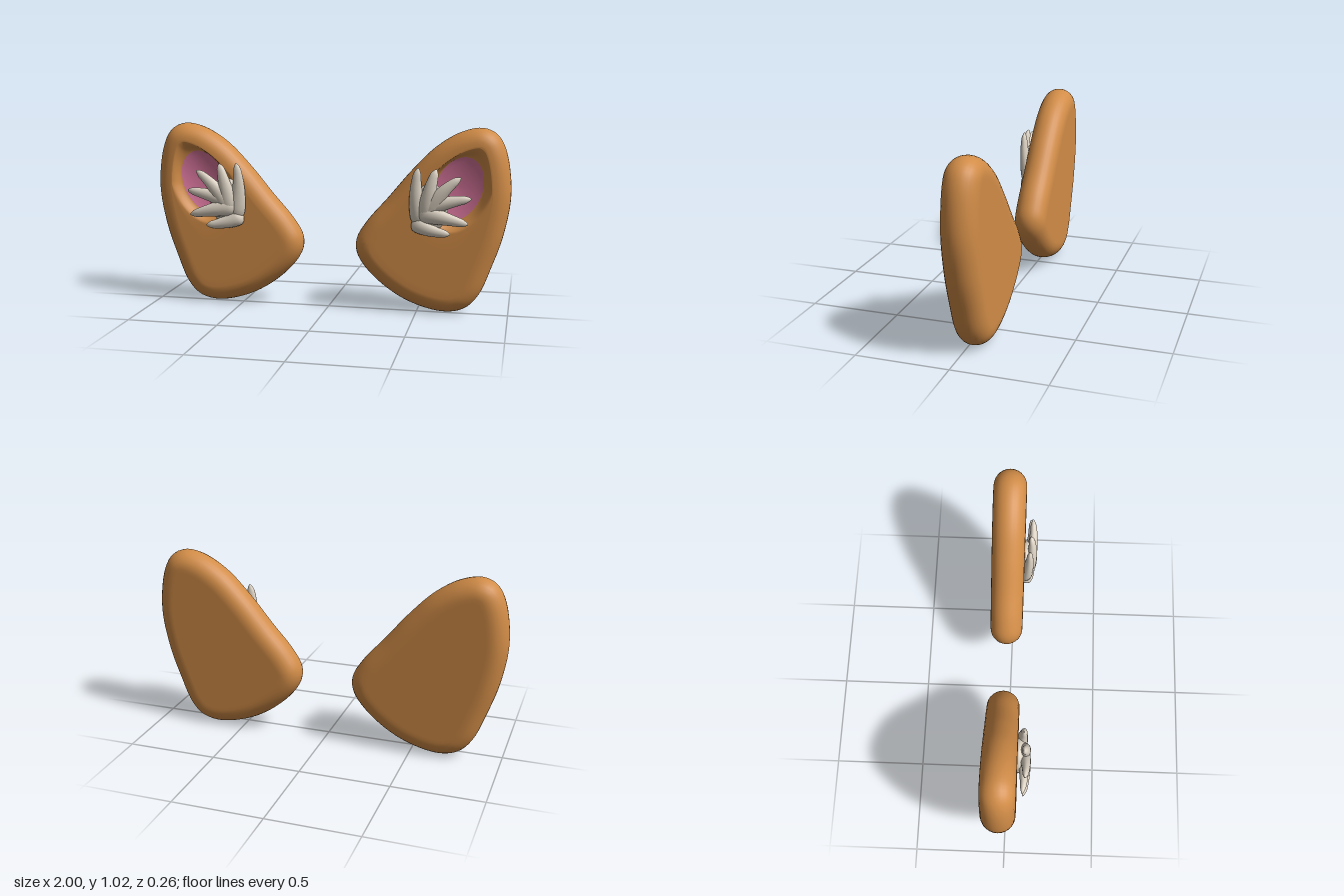
import * as THREE from 'three';

const furBrown = new THREE.MeshStandardMaterial({ color: 0xd18c47 });
furBrown.name = 'brown fur';
const innerPink = new THREE.MeshStandardMaterial({ color: 0xd6749a });
innerPink.name = 'inner ear pink';
const tuftCream = new THREE.MeshStandardMaterial({ color: 0xdcd2c3 });
tuftCream.name = 'cream tuft';

// Skins a list of closed point rings into one smooth surface.
function loft(rings) {
  const n = rings[0].length, index = [];
  for (let i = 0; i < rings.length - 1; i++) {
    for (let j = 0; j < n; j++) {
      const a = i * n + j, b = i * n + (j + 1) % n;
      index.push(a, b, a + n, b, b + n, a + n);
    }
  }
  const geometry = new THREE.BufferGeometry().setFromPoints(rings.flat());
  geometry.setIndex(index);
  geometry.computeVertexNormals();
  return geometry;
}

// Reflects a geometry in x and restores its winding.
function mirrored(geometry) {
  const g = geometry.clone();
  const p = g.attributes.position, idx = g.index;
  for (let i = 0; i < p.count; i++) p.setX(i, -p.getX(i));
  for (let i = 0; i < idx.count; i += 3) {
    const b = idx.getX(i + 1);
    idx.setX(i + 1, idx.getX(i + 2));
    idx.setX(i + 2, b);
  }
  g.computeVertexNormals();
  return g;
}

// Ear: a rounded slab with a shallow oval hollow in its front.
function earGeometry() {
  const outline = [
    [0.84, 1.027], [0.73, 1.006], [0.596, 0.926], [0.463, 0.794], [0.329, 0.634], [0.21, 0.495],
    [0.154, 0.395], [0.16, 0.31], [0.249, 0.19], [0.436, 0.06], [0.65, 0.004], [0.765, 0.03],
    [0.837, 0.105], [0.906, 0.27], [0.966, 0.457], [0.998, 0.68], [0.965, 0.91], [0.915, 0.995],
  ].map(([x, y]) => new THREE.Vector3(x, y, 0));
  const curve = new THREE.CatmullRomCurve3(outline, true);
  const n = 120, r = 0.0925, zMid = -0.0325, front = zMid + r;
  const edge = [], inward = [];
  for (let j = 0; j < n; j++) {
    edge.push(curve.getPointAt(j / n));
    const t = curve.getTangentAt(j / n);
    inward.push(new THREE.Vector3(-t.y, t.x, 0));
  }
  const inset = (d, z) => edge.map((p, j) => p.clone().addScaledVector(inward[j], d).setZ(z));
  const rings = [];

  // back face and rounded rim
  const middle = new THREE.Vector3(0.65, 0.5, 0);
  const backEdge = inset(r, zMid - r);
  for (const s of [0, 0.35, 0.7, 0.95]) {
    rings.push(backEdge.map(p => p.clone().sub(middle).multiplyScalar(s).add(middle).setZ(zMid - r)));
  }
  for (let k = 0; k <= 14; k++) {
    const a = -Math.PI / 2 + Math.PI * k / 14;
    rings.push(inset(r * (1 - Math.cos(a)), zMid + r * Math.sin(a)));
  }

  // front face, running from the rim to the lip of the hollow
  const centre = new THREE.Vector3(0.72, 0.70, 0), tilt = 1.19;
  const rays = inset(r, 0).map(p => {
    const d = p.sub(centre), reach = d.length(), a = Math.atan2(d.y, d.x) - tilt;
    const oval = 1 / Math.hypot(Math.cos(a) / 0.18, Math.sin(a) / 0.125);
    return { d: d.normalize(), reach, oval, lip: Math.min(oval * 1.4, reach * 0.96) };
  });
  const ringAt = (radius, z) =>
    rings.push(rays.map(q => centre.clone().addScaledVector(q.d, radius(q)).setZ(z)));
  for (const s of [0.1, 0.4, 0.7, 1]) ringAt(q => q.reach + (q.lip - q.reach) * s, front);

  // sloping wall, then the pink bowl
  for (const s of [0.2, 0.4, 0.6, 0.8, 1]) {
    ringAt(q => q.lip + (q.oval - q.lip) * s, front - 0.035 * s * s * (3 - 2 * s) - 0.008 * s);
  }
  const pinkStart = (rings.length - 1) * n * 6;
  for (const s of [0.85, 0.7, 0.5, 0.25, 0]) ringAt(q => q.oval * s, front - 0.043 - 0.025 * (1 - s * s));

  const geometry = loft(rings);
  geometry.addGroup(0, pinkStart, 0);
  geometry.addGroup(pinkStart, geometry.index.count - pinkStart, 1);
  return geometry;
}

// One tapered, slightly flattened lock of fur.
function lockGeometry(base, bend, tip, width) {
  const curve = new THREE.QuadraticBezierCurve3(
    new THREE.Vector3(...base), new THREE.Vector3(...bend), new THREE.Vector3(...tip));
  const rings = [], steps = 18, sides = 16;
  for (let i = 0; i <= steps; i++) {
    const t = (1 - Math.cos(Math.PI * i / steps)) / 2;
    const p = curve.getPoint(t), T = curve.getTangent(t);
    const side = new THREE.Vector3(0, 0, 1).cross(T).normalize();
    const up = T.clone().cross(side);
    const cap = Math.sqrt(Math.max(0, Math.min(1, t / 0.2, (1 - t) / 0.1)));
    const w = (width * (1 - t) + 0.017 * t) * cap;
    rings.push(Array.from({ length: sides }, (_, j) => {
      const a = 2 * Math.PI * j / sides;
      return p.clone().addScaledVector(side, w * Math.cos(a)).addScaledVector(up, 0.75 * w * Math.sin(a));
    }));
  }
  return loft(rings);
}

export function createModel() {
  const model = new THREE.Group();
  model.name = 'pairOfEars';

  // palm of the tuft and its fanned locks
  const palm = new THREE.SphereGeometry(1, 32, 20);
  palm.scale(0.1, 0.135, 0.045);
  palm.rotateZ(-0.1);
  palm.translate(0.568, 0.595, 0.066);
  const locks = [
    [[0.535, 0.48, 0.06], [0.475, 0.66, 0.09], [0.508, 0.818, 0.09], 0.06],
    [[0.55, 0.5, 0.065], [0.56, 0.70, 0.12], [0.606, 0.812, 0.092], 0.062],
    [[0.53, 0.52, 0.065], [0.61, 0.69, 0.12], [0.737, 0.772, 0.1], 0.06],
    [[0.5, 0.58, 0.065], [0.64, 0.64, 0.11], [0.794, 0.658, 0.09], 0.06],
    [[0.5, 0.58, 0.065], [0.62, 0.56, 0.12], [0.78, 0.52, 0.095], 0.065],
    [[0.485, 0.53, 0.06], [0.54, 0.475, 0.10], [0.685, 0.464, 0.1], 0.058],
  ].map(a => lockGeometry(...a));
  const earShape = earGeometry();

  for (const side of ['left', 'right']) {
    const place = g => (side === 'left' ? g : mirrored(g));
    const ear = new THREE.Group();
    ear.name = side + 'Ear';
    const add = (name, g, material) => {
      const mesh = new THREE.Mesh(place(g), material);
      mesh.name = name;
      ear.add(mesh);
    };
    add('earShell', earShape, [furBrown, innerPink]);
    add('tuftPalm', palm, tuftCream);
    locks.forEach((g, i) => add('tuftLock' + (i + 1), g, tuftCream));
    model.add(ear);
  }
  return model;
}
